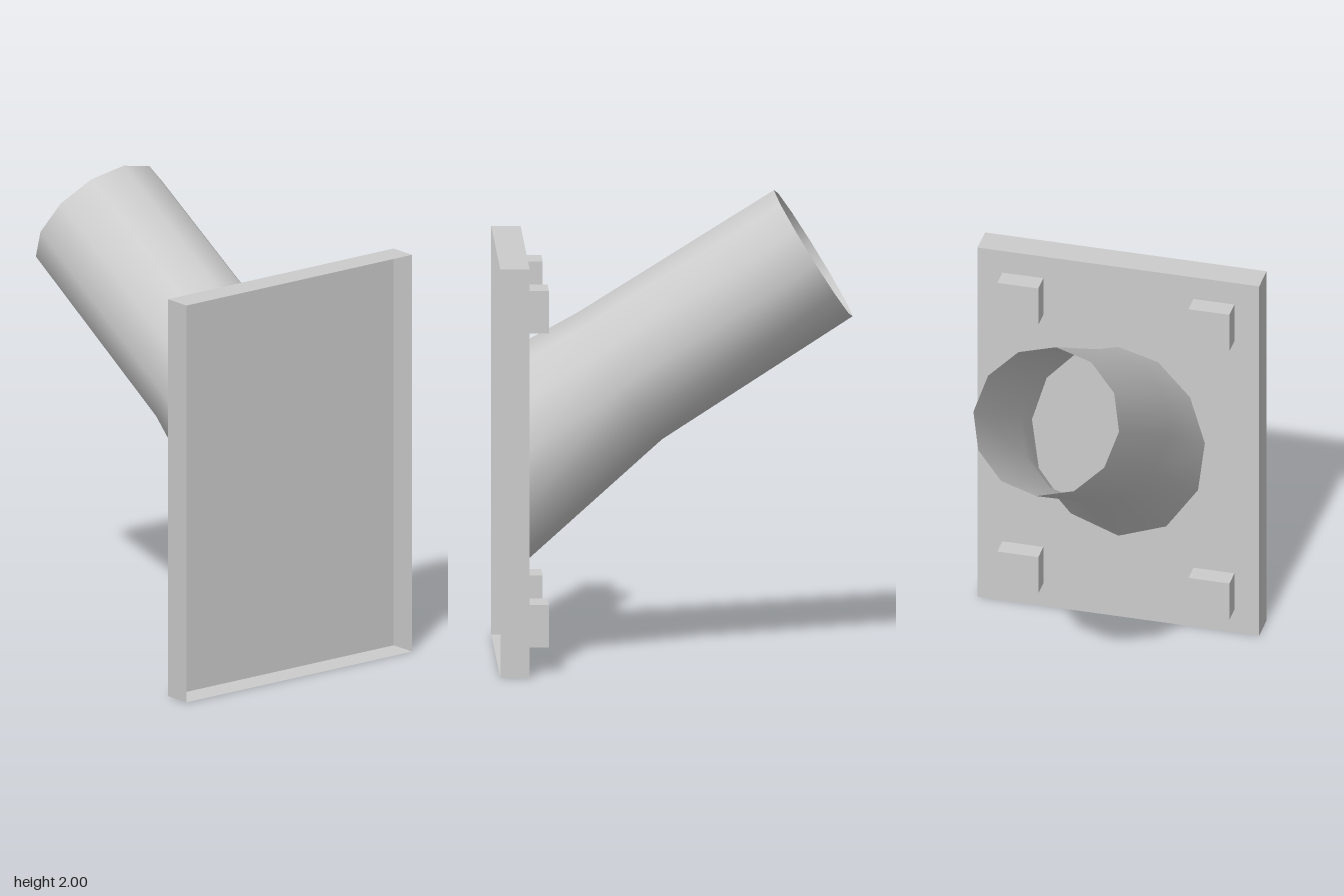
import * as THREE from 'three';

const grey = new THREE.MeshStandardMaterial({ color: 0xcccccc, side: THREE.DoubleSide });
grey.name = 'lightGrey';

function part(name, geometry, x = 0, y = 0, z = 0) {
  const mesh = new THREE.Mesh(geometry, grey);
  mesh.name = name;
  mesh.position.set(x, y, z);
  return mesh;
}

// Right half of the oval where the pipe meets the plate, top to bottom (x, y)
const ovalHalf = [[0, 1.355], [0.175, 1.305], [0.315, 1.15], [0.38, 0.93], [0.35, 0.69], [0.21, 0.485], [0, 0.405]];
const oval = [...ovalHalf, ...ovalHalf.slice(1, 6).reverse().map(([x, y]) => [-x, y])];

// Tilted 12-sided ring: half-width rx, top point offset by (ry, rz) from its centre
function ring(rx, cy, cz, ry, rz) {
  return oval.map((_, i) => {
    const a = (i / 12) * Math.PI * 2;
    return [Math.sin(a) * rx, cy + Math.cos(a) * ry, cz + Math.cos(a) * rz];
  });
}

// Skin through rings of equal size, smooth shaded, open at both ends
function skin(rings) {
  const n = rings[0].length;
  const index = [];
  for (let i = 0; i < rings.length - 1; i++) {
    for (let j = 0; j < n; j++) {
      const a = i * n + j, b = i * n + (j + 1) % n;
      index.push(a, b, a + n, b, b + n, a + n);
    }
  }
  const g = new THREE.BufferGeometry();
  g.setAttribute('position', new THREE.Float32BufferAttribute(rings.flat(2), 3));
  g.setIndex(index);
  g.computeVertexNormals();
  return g;
}

// Box without its +z face
function openFrontBox(w, h, d) {
  const g = new THREE.BoxGeometry(w, h, d);
  const index = Array.from(g.index.array);
  index.splice(24, 6);
  g.setIndex(index);
  g.clearGroups();
  return g;
}

export function createModel() {
  const model = new THREE.Group();
  model.name = 'flangedPipe';

  // Mounting plate, a shallow tray open to the front
  model.add(part('mountingPlate', openFrontBox(1.238, 1.757, 0.125), 0, 0.8785, 0.6975));

  // Four square bolt heads on the back of the plate
  for (const x of [-0.42, 0.42]) {
    for (const y of [0.205, 1.557]) {
      model.add(part('boltHead', new THREE.BoxGeometry(0.18, 0.183, 0.085), x, y, 0.5925));
    }
  }

  // Flared neck, bend and straight pipe
  model.add(part('pipe', skin([
    oval.map(([x, y]) => [x, y, 0.635]),
    ring(0.325, 1.205, 0.23, 0.275, 0.178),
    ring(0.32, 1.728, -0.592, 0.272, 0.168),
  ])));

  // Cover over the pipe mouth; its normals face into the pipe
  const cover = new THREE.ShapeGeometry(new THREE.Shape(oval.map(([x, y]) => new THREE.Vector2(x, y))));
  cover.attributes.normal.array.forEach((v, i, n) => { n[i] = -v; });
  model.add(part('pipeMouthCover', cover, 0, 0, 0.638));

  return model;
}
